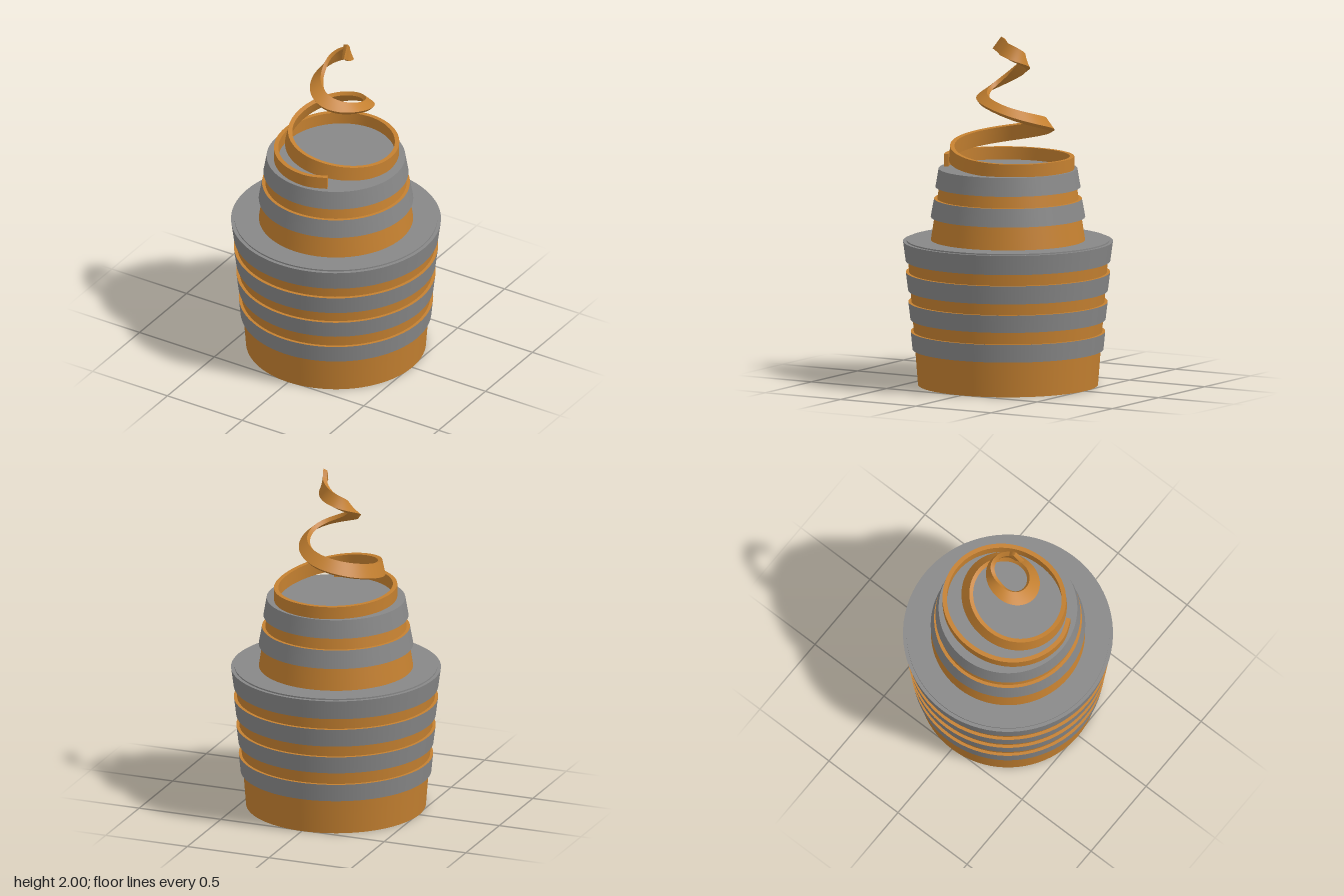
import * as THREE from 'three';

const SEG = 80;
const wood = new THREE.MeshStandardMaterial({ color: 0xc48030, side: THREE.DoubleSide });
const grey = new THREE.MeshStandardMaterial({ color: 0x878787, side: THREE.DoubleSide });

export function createModel() {
  const group = new THREE.Group();
  const add = (name, geometry, material) => {
    const mesh = new THREE.Mesh(geometry, material);
    mesh.name = name;
    group.add(mesh);
    return mesh;
  };

  // Open conical wall between two heights
  const wall = (name, r0, y0, r1, y1, material) => {
    const mesh = add(name, new THREE.CylinderGeometry(r1, r0, y1 - y0, SEG, 1, true), material);
    mesh.position.y = (y0 + y1) / 2;
  };

  // Flat ring or disc facing up
  const disc = (name, inner, outer, y, material) => {
    const mesh = add(name, inner > 0
      ? new THREE.RingGeometry(inner, outer, SEG)
      : new THREE.CircleGeometry(outer, SEG), material);
    mesh.rotation.x = -Math.PI / 2;
    mesh.position.y = y;
  };

  // Hoop: outer wall with flat upper and lower edges
  const hoop = (name, r0, y0, r1, y1, topMaterial) => {
    const depth = 0.02;
    wall(name, r0, y0, r1, y1, grey);
    disc(name + 'TopEdge', r1 - depth, r1, y1, topMaterial);
    disc(name + 'BottomEdge', r0 - depth, r0, y0, grey);
  };

  // Lower tub, flaring upward, hollow and open below
  wall('lowerBody', 0.51, 0, 0.574, 0.82, wood);
  wall('lowerLining', 0.502, 0, 0.566, 0.825, grey);
  disc('lowerLip', 0.502, 0.51, 0, grey);
  wall('lowerLidRim', 0.575, 0.82, 0.575, 0.83, grey);
  disc('lowerLid', 0, 0.575, 0.83, grey);

  // Upper tub, narrowing upward
  wall('upperBody', 0.437, 0.83, 0.374, 1.236, wood);
  disc('upperLid', 0, 0.376, 1.238, grey);

  // Hoops: bottom radius and height, top radius and height, top edge material
  [
    [0.541, 0.203, 0.551, 0.305, wood],
    [0.553, 0.375, 0.565, 0.475, wood],
    [0.566, 0.54, 0.579, 0.645, wood],
    [0.58, 0.71, 0.595, 0.822, grey],
    [0.438, 0.961, 0.419, 1.065, wood],
    [0.411, 1.133, 0.393, 1.238, grey],
  ].forEach((h, i) => hoop('hoop' + (i + 1), ...h));

  add('spiralRibbon', ribbonGeometry(), wood);
  return group;
}

// Rising ribbon: quarter turn, lower edge radius and height, upper edge radius and height
function ribbonGeometry() {
  const stations = [
    [-0.27, 0.365, 1.24, 0.365, 1.312],
    [0, 0.375, 1.24, 0.375, 1.312],
    [1, 0.343, 1.24, 0.343, 1.312],
    [2, 0.385, 1.24, 0.385, 1.312],
    [3, 0.338, 1.24, 0.338, 1.318],
    [4, 0.328, 1.313, 0.318, 1.402],
    [5, 0.265, 1.39, 0.238, 1.475],
    [6, 0.26, 1.495, 0.205, 1.557],
    [7, 0.19, 1.6, 0.145, 1.64],
    [8, 0.175, 1.665, 0.105, 1.712],
    [9, 0.13, 1.76, 0.082, 1.81],
    [10, 0.122, 1.835, 0.1, 1.895],
    [11, 0.088, 1.895, 0.076, 1.965],
    [11.35, 0.098, 1.93, 0.075, 2],
  ];
  const STEPS = 20;
  const THICK = 0.025;
  const rings = [];
  const mix = (i, t, k) => {
    const p = (j) => stations[Math.min(Math.max(j, 0), stations.length - 1)][k];
    const m0 = (p(i + 1) - p(i - 1)) / 2, m1 = (p(i + 2) - p(i)) / 2;
    const t2 = t * t, t3 = t2 * t;
    return (2 * t3 - 3 * t2 + 1) * p(i) + (t3 - 2 * t2 + t) * m0
      + (3 * t2 - 2 * t3) * p(i + 1) + (t3 - t2) * m1;
  };
  for (let i = 0; i < stations.length - 1; i++) {
    for (let s = i === 0 ? 0 : 1; s <= STEPS; s++) {
      const t = s / STEPS;
      const q = THREE.MathUtils.lerp(stations[i][0], stations[i + 1][0], t);
      const [r0, y0, r1, y1] = [1, 2, 3, 4].map((k) => mix(i, t, k));
      const len = Math.hypot(r1 - r0, y1 - y0);
      const nr = -(y1 - y0) / len * THICK, ny = (r1 - r0) / len * THICK;
      // The upper edge trails the lower one as the climb steepens
      const trail = 0.35 * THREE.MathUtils.smoothstep(q, 8, 11.35);
      const at = (r, y, turn) => {
        const a = turn * Math.PI / 2;
        return [-r * Math.sin(a), y, r * Math.cos(a)];
      };
      rings.push([
        at(r0, y0, q), at(r1, y1, q - trail),
        at(r1 + nr, y1 + ny, q - trail), at(r0 + nr, y0 + ny, q),
      ]);
    }
  }

  // Each side has its own vertices so the edges stay sharp
  const pos = [], index = [];
  for (let side = 0; side < 4; side++) {
    const base = pos.length / 3;
    rings.forEach((c) => pos.push(...c[side], ...c[(side + 1) % 4]));
    for (let i = 0; i < rings.length - 1; i++) {
      const a = base + i * 2;
      index.push(a, a + 2, a + 1, a + 1, a + 2, a + 3);
    }
  }
  // End caps
  [rings[0], rings[rings.length - 1]].forEach((c, end) => {
    const b = pos.length / 3;
    pos.push(...c.flat());
    index.push(...(end ? [b, b + 2, b + 1, b, b + 3, b + 2] : [b, b + 1, b + 2, b, b + 2, b + 3]));
  });
  const geometry = new THREE.BufferGeometry();
  geometry.setAttribute('position', new THREE.Float32BufferAttribute(pos, 3));
  geometry.setIndex(index);
  geometry.computeVertexNormals();
  return geometry;
}
